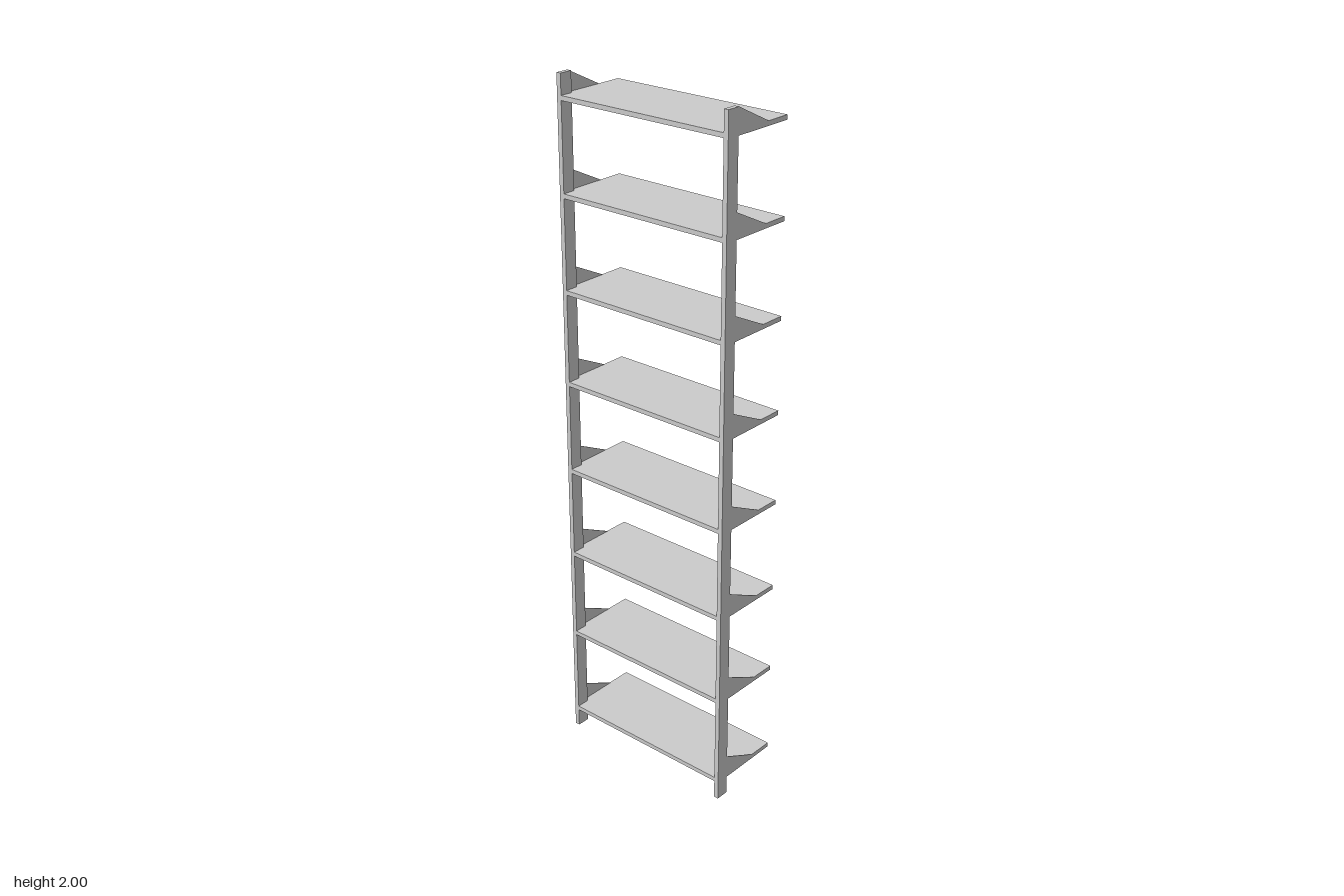
import * as THREE from 'three';

const W = 0.281, D = 0.115, H = 2;          // half width, half depth, height
const POST_W = 0.014, POST_D = 0.039;       // upright section
const SHELF_H = 0.013, SHEET = 0.002;       // folded shelf height, sheet thickness
const SHELVES = 8, FIRST_TOP = 0.068, PITCH = 0.2692;

const material = new THREE.MeshStandardMaterial({ color: 0xcccccc, side: THREE.DoubleSide });

function addMesh(parent, name, geometry) {
  const mesh = new THREE.Mesh(geometry, material);
  mesh.name = name;
  parent.add(mesh);
  return mesh;
}

// Shelf outline (shape y = -z), notched round the uprights at the front corners
function outline(inset) {
  const x = W - inset, xn = W - POST_W - inset;
  const back = D - inset, front = -D + inset, notch = -D + POST_D + inset;
  return [[-x, back], [-x, notch], [-xn, notch], [-xn, front],
    [xn, front], [xn, notch], [x, notch], [x, back]].map(([a, b]) => new THREE.Vector2(a, b));
}

const extrude = (shape, depth) => new THREE.ExtrudeGeometry(shape, { depth, bevelEnabled: false });

export function createModel() {
  const model = new THREE.Group();
  model.name = 'shelfRack';

  // Two full-height uprights
  for (const side of [-1, 1]) {
    const post = addMesh(model, side > 0 ? 'leftUpright' : 'rightUpright',
      new THREE.BoxGeometry(POST_W, H, POST_D));
    post.position.set(side * (W - POST_W / 2), H / 2, D - POST_D / 2);
  }

  // Shelf: flat deck with a rim folded down, open underneath
  const deckGeo = extrude(new THREE.Shape(outline(0)), SHEET).rotateX(-Math.PI / 2);
  const rimShape = new THREE.Shape(outline(0));
  rimShape.holes.push(new THREE.Path(outline(SHEET)));
  const rimGeo = extrude(rimShape, SHELF_H - SHEET).rotateX(-Math.PI / 2);

  // Bracket: thin triangular sheet rising from the shelf side to the upright
  const zPost = D - POST_D;
  const bracketGeo = extrude(new THREE.Shape([
    new THREE.Vector2(-zPost, -SHELF_H), new THREE.Vector2(0.04, -SHELF_H),
    new THREE.Vector2(0.04, 0), new THREE.Vector2(-zPost, 0.0475 + SHELF_H * 0.75),
  ]), SHEET).rotateY(Math.PI / 2);

  for (let i = 0; i < SHELVES; i++) {
    const shelf = new THREE.Group();
    shelf.name = `shelf${i + 1}`;
    shelf.position.y = Math.min(FIRST_TOP + i * PITCH, H - 0.0573);
    addMesh(shelf, 'deck', deckGeo).position.y = -SHEET;
    addMesh(shelf, 'rim', rimGeo).position.y = -SHELF_H;
    addMesh(shelf, 'leftBracket', bracketGeo).position.x = W - SHEET;
    addMesh(shelf, 'rightBracket', bracketGeo).position.x = -W;
    model.add(shelf);
  }
  return model;
}
